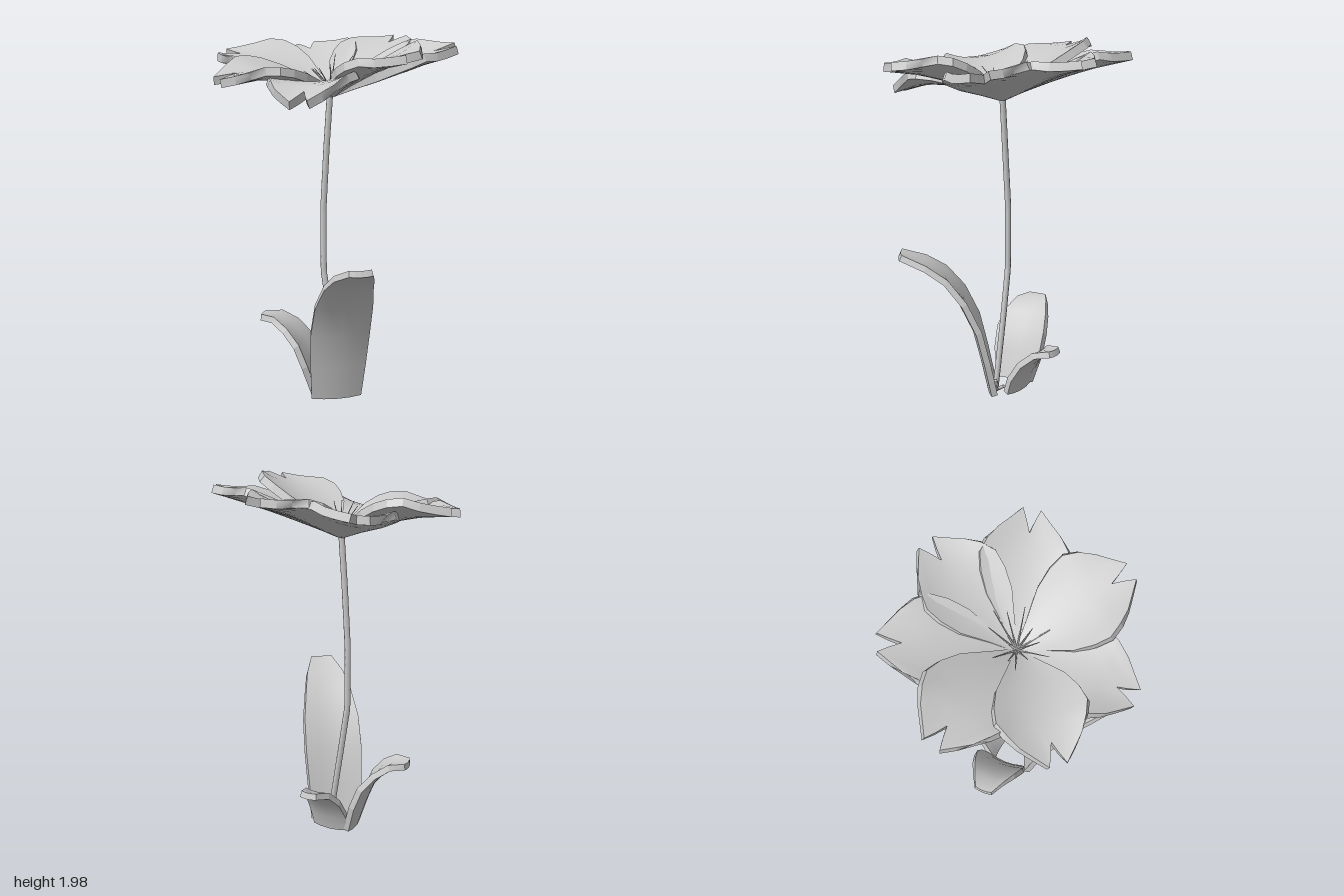
import * as THREE from 'three';

const material = new THREE.MeshStandardMaterial({ color: 0xcccccc, side: THREE.DoubleSide });
const V = (x, y, z) => new THREE.Vector3(x, y, z);

// Solid sheet from a grid of points: smooth top and underside, sharp rim
function slab(name, rows, thick) {
  const n = rows.length, m = rows[0].length, top = rows.flat(), index = [];
  for (let i = 0; i < n - 1; i++) for (let j = 0; j < m - 1; j++) {
    const a = i * m + j, b = a + m;
    index.push(a, b, a + 1, a + 1, b, b + 1);
  }
  const sheet = new THREE.BufferGeometry().setFromPoints(top);
  sheet.setIndex(index);
  sheet.computeVertexNormals();
  const normal = sheet.attributes.normal;
  const bottom = top.map((p, k) => p.clone().addScaledVector(V().fromBufferAttribute(normal, k), -thick));

  const points = [...top, ...bottom], faces = [...index], off = top.length;
  for (let k = 0; k < index.length; k += 3) faces.push(index[k] + off, index[k + 2] + off, index[k + 1] + off);

  // rim walls with their own vertices
  const loop = [];
  for (let i = 0; i < n - 1; i++) loop.push(i * m);
  for (let j = 0; j < m - 1; j++) loop.push((n - 1) * m + j);
  for (let i = n - 1; i > 0; i--) loop.push(i * m + m - 1);
  for (let j = m - 1; j > 0; j--) loop.push(j);
  loop.forEach((a, k) => {
    const b = loop[(k + 1) % loop.length], s = points.length;
    points.push(top[a], top[b], bottom[a], bottom[b]);
    faces.push(s, s + 2, s + 1, s + 1, s + 2, s + 3);
  });
  const geometry = new THREE.BufferGeometry().setFromPoints(points);
  geometry.setIndex(faces);
  geometry.computeVertexNormals();
  const mesh = new THREE.Mesh(geometry, material);
  mesh.name = name;
  return mesh;
}

// Notched petal: tip direction in x and z, height at the middle and at the tip
const CENTRE = V(0.015, 1.715, 0.015);
function petal([tx, tz, mid, tip]) {
  const dx = tx - CENTRE.x, dz = tz - CENTRE.z, length = Math.hypot(dx, dz);
  const d = V(dx / length, 0, dz / length), w = V(d.z, 0, -d.x);
  const height = (s) => { // parabola through base, middle and tip
    const p = 0.33, q = 0.63, h1 = (mid - CENTRE.y) / p, h2 = (tip - CENTRE.y) / q;
    const k = (h2 - h1) / (q - p);
    return s * (h1 + k * (s - p));
  };
  const point = (s, side, u) => {
    const lift = 0.05 * u * u * Math.min(1, s / 0.35) - 0.2 * w.z * side;
    return CENTRE.clone().addScaledVector(d, s * length / 0.63)
      .addScaledVector(w, side).add(V(0, height(s) + lift, 0));
  };
  const us = [-1, -0.75, -0.5, -0.25, 0, 0.25, 0.5, 0.75, 1];
  const outline = [[0, 0.012], [0.1, 0.085], [0.21, 0.175], [0.3, 0.215], [0.38, 0.23], [0.45, 0.2]];
  const rows = outline.map(([s, half]) => us.map((u) => point(s, u * half, u)));
  // end row: shoulder, lobe tip, notch
  const end = [[0.52, 0.155], [0.575, 0.1], [0.63, 0.045], [0.575, 0.02], [0.52, 0]];
  rows.push(us.map((u) => {
    const [s, half] = end[Math.round((1 - Math.abs(u)) * 4)];
    return point(s, Math.sign(u) * half, half / 0.23);
  }));
  return slab('petal', rows, 0.045);
}

// Arching leaf: profile entries are [outward, height, half width]
function leaf(name, base, angle, profile, cup) {
  const d = V(Math.cos(angle), 0, Math.sin(angle)), w = V(d.z, 0, -d.x);
  const us = [-1, -0.5, 0, 0.5, 1];
  const rows = profile.map(([r, y, half]) => us.map((u) =>
    V(base[0], y, base[1]).addScaledVector(d, r - cup * u * u * half)
      .addScaledVector(w, u * half).add(V(0, cup * u * u * half * 0.4, 0))));
  return slab(name, rows, 0.035);
}

function rod(name, from, to, r0, r1, sides) {
  const axis = to.clone().sub(from);
  const mesh = new THREE.Mesh(new THREE.CylinderGeometry(r1, r0, axis.length(), sides), material);
  mesh.position.copy(from).add(to).multiplyScalar(0.5);
  mesh.quaternion.setFromUnitVectors(V(0, 1, 0), axis.normalize());
  mesh.name = name;
  return mesh;
}

export function createModel() {
  const group = new THREE.Group();
  group.name = 'flower';

  // Blossom
  const blossom = new THREE.Group();
  blossom.name = 'blossom';
  [
    [0.02, -0.63, 1.875, 1.98],
    [0.535, -0.405, 1.85, 1.95],
    [0.65, 0.175, 1.86, 1.93],
    [0.265, 0.61, 1.775, 1.70],
    [-0.28, 0.6, 1.82, 1.79],
    [-0.66, 0.13, 1.85, 1.90],
    [-0.5, -0.425, 1.85, 1.93],
  ].forEach((p) => blossom.add(petal(p)));

  // Stamens
  for (let i = 0; i < 12; i++) {
    const a = i * 2.4, r = 0.11 + 0.035 * (i % 3);
    const tip = V(CENTRE.x + r * Math.cos(a), 1.81 + 0.02 * (i % 4) - 0.2 * r * Math.sin(a), CENTRE.z + r * Math.sin(a));
    blossom.add(rod('stamen', CENTRE, tip, 0.006, 0.002, 4));
  }
  group.add(blossom);

  // Bent stem
  const path = new THREE.CurvePath();
  const bends = [[0.08, 0.03, 0], [0.015, 0.42, 0.01], [-0.03, 0.71, 0.02], [-0.032, 1.06, 0.02], [-0.01, 1.4, 0.02], [0.012, 1.7, 0.017]]
    .map((p) => V(...p));
  for (let i = 1; i < bends.length; i++) path.add(new THREE.LineCurve3(bends[i - 1], bends[i]));
  const stem = new THREE.Mesh(new THREE.TubeGeometry(path, 40, 0.017, 6), material);
  stem.name = 'stem';
  group.add(stem);

  // Leaves
  group.add(leaf('tallLeaf', [0.065, 0.035], 0.67, [
    [0, 0.015, 0.135], [0.04, 0.2, 0.15], [0.09, 0.4, 0.16], [0.17, 0.57, 0.155],
    [0.27, 0.7, 0.13], [0.38, 0.775, 0.105], [0.51, 0.83, 0.06]], 0.12));
  group.add(leaf('sideLeaf', [-0.07, 0.01], Math.PI - 0.4, [
    [0, 0.03, 0.1], [0.05, 0.18, 0.14], [0.1, 0.3, 0.145], [0.17, 0.385, 0.125],
    [0.25, 0.44, 0.09], [0.33, 0.445, 0.05]], 0.15));
  group.add(leaf('backLeaf', [-0.005, -0.08], -Math.PI / 2 - 0.2, [
    [0, 0.03, 0.1], [0.03, 0.12, 0.105], [0.09, 0.22, 0.095], [0.17, 0.295, 0.075],
    [0.26, 0.32, 0.045]], 0.15));

  // Root stubs
  [[0.06, 0.05, 0.02], [0.1, 0.08, -0.02], [0.13, 0.06, -0.05], [0.07, 0.05, -0.06]].forEach(([x, y, z]) =>
    group.add(rod('rootStub', V(0.07, 0.012, 0), V(x, y, z), 0.012, 0.01, 5)));
  return group;
}
